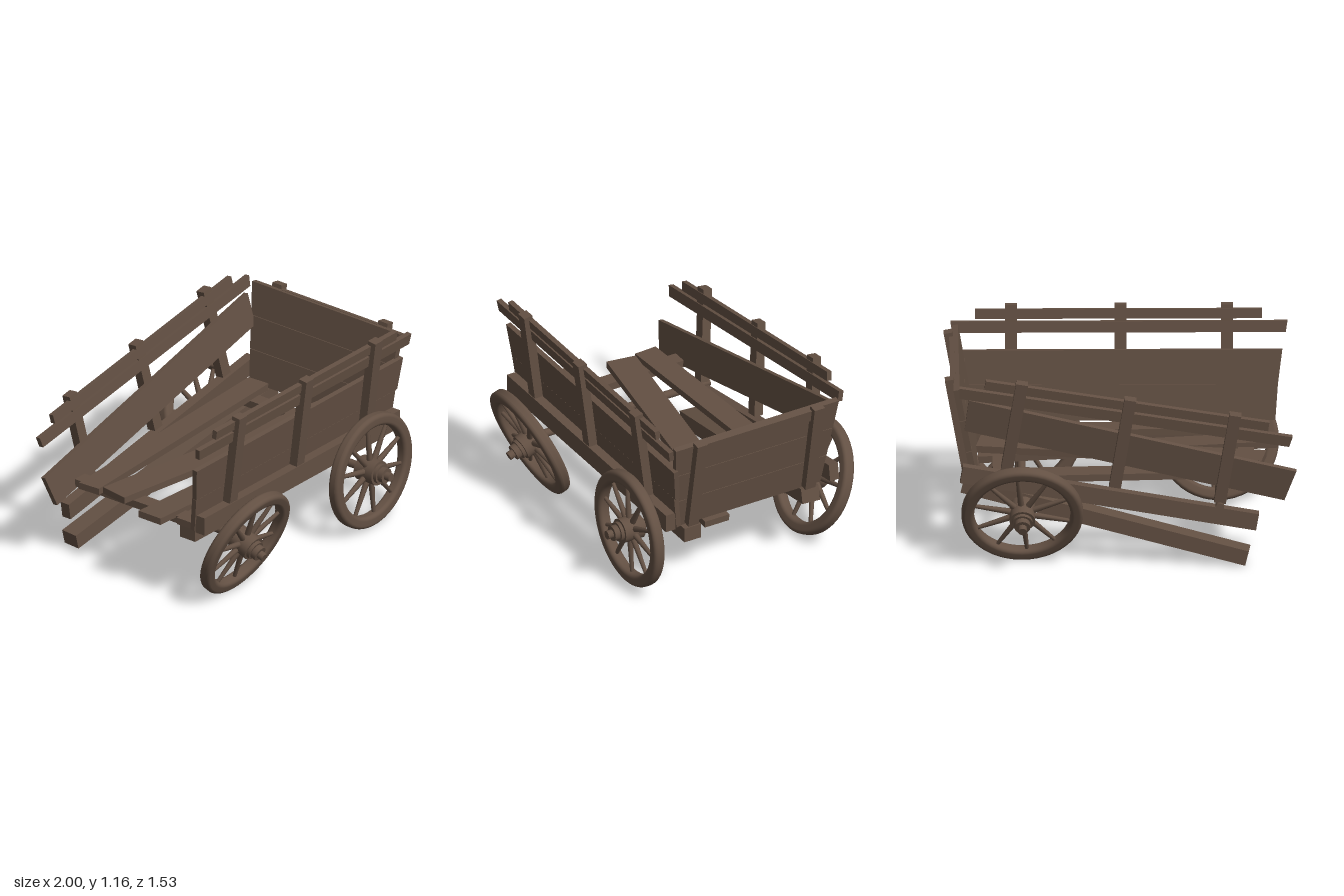
import * as THREE from 'three';

export function createModel() {
  const wagon = new THREE.Group();
  wagon.name = 'brokenWagon';
  const wood = new THREE.MeshStandardMaterial({ color: 0x635043 });
  wood.name = 'weathered wood';
  const V = (p) => new THREE.Vector3(...p);

  // Squared timber from a to b; h is its size along "up", t its thickness.
  // flare lengthens the ends along the upper edge.
  function timber(name, a, b, h, t, up = [0, 1, 0], flare = 0, parent = wagon) {
    const A = V(a), B = V(b), len = A.distanceTo(B);
    const geo = new THREE.BoxGeometry(len, h, t);
    const p = geo.attributes.position;
    for (let i = 0; i < p.count; i++) {
      if (p.getY(i) > 0) p.setX(i, p.getX(i) + Math.sign(p.getX(i)) * flare);
    }
    geo.computeVertexNormals();
    const x = B.clone().sub(A).normalize();
    const z = x.clone().cross(V(up)).normalize();
    const y = z.clone().cross(x);
    const mesh = new THREE.Mesh(geo, wood);
    mesh.name = name;
    mesh.quaternion.setFromRotationMatrix(new THREE.Matrix4().makeBasis(x, y, z));
    mesh.position.copy(A).add(B).multiplyScalar(0.5);
    parent.add(mesh);
  }

  // Rim cross-section: a closed square with rounded corners (radius, width)
  const rimProfile = [];
  for (let i = 0; i <= 20; i++) {
    const k = i % 20, corner = Math.floor(k / 5);
    const ang = ((corner + (k % 5) / 4) * Math.PI) / 2;
    const sx = corner === 0 || corner === 3 ? 1 : -1, sy = corner < 2 ? 1 : -1;
    rimProfile.push(new THREE.Vector2(
      0.311 + sx * 0.014 + Math.cos(ang) * 0.022, sy * 0.014 + Math.sin(ang) * 0.022));
  }

  // Wheel facing +z: rim, stepped hub, tapered spokes
  function wheel(name, pos, tilt, turn) {
    const g = new THREE.Group();
    g.name = name;
    const add = (n, geo) => {
      const m = new THREE.Mesh(geo, wood);
      m.name = n;
      g.add(m);
      return m;
    };
    add('rim', new THREE.LatheGeometry(rimProfile, 48).rotateX(Math.PI / 2));
    const steps = [[-0.085, 0.045, 0.042], [-0.065, 0.065, 0.073],
      [0.06, 0.085, 0.058], [0.08, 0.118, 0.045], [0.115, 0.152, 0.025]];
    for (const [z0, z1, r] of steps) {
      const geo = new THREE.CylinderGeometry(r, r, z1 - z0, 24).rotateX(Math.PI / 2);
      add('hub', geo).position.z = (z0 + z1) / 2;
    }
    const count = 10;
    for (let i = 0; i < count; i++) {
      const geo = new THREE.CylinderGeometry(0.011, 0.019, 0.24, 8);
      geo.translate(0, 0.17, 0).rotateZ((i / count) * Math.PI * 2 + 0.1);
      add('spoke', geo);
    }
    g.position.set(...pos);
    g.rotation.set(tilt, turn, 0);
    wagon.add(g);
  }
  wheel('frontLeftWheel', [-0.56, 0.336, 0.605], 0.37, 0);
  wheel('frontRightWheel', [0.565, 0.36, 0.615], 0, 0);
  wheel('backWheel', [0.565, 0.334, -0.6], -0.42, Math.PI);

  // Axles
  for (const x of [-0.56, 0.565]) {
    const axle = new THREE.Mesh(new THREE.CylinderGeometry(0.024, 0.024, 1.16, 16), wood);
    axle.name = 'axle';
    axle.rotation.x = Math.PI / 2;
    axle.position.set(x, 0.36, 0);
    wagon.add(axle);
  }

  // Undercarriage: one sound beam, one fallen beam, two cross beams
  timber('frameBeam', [-0.82, 0.435, 0.395], [0.9, 0.435, 0.395], 0.09, 0.11);
  timber('fallenFrameBeam', [-0.72, 0.055, -0.545], [0.9, 0.445, -0.385], 0.09, 0.11);
  timber('crossBeam', [0.685, 0.452, -0.48], [0.685, 0.452, 0.45], 0.045, 0.09);
  timber('crossBeam', [-0.715, 0.452, -0.48], [-0.715, 0.452, 0.45], 0.045, 0.09);

  // Floor planks, some shifted out of line
  const planks = [
    [[-0.83, 0.49, -0.32], [0.82, 0.49, -0.41], 0.14],
    [[-0.815, 0.495, -0.15], [0.81, 0.495, 0.11], 0.18],
    [[-0.9, 0.49, 0.18], [0.81, 0.4, 0.18], 0.16],
    [[-0.83, 0.49, 0.39], [0.82, 0.49, 0.335], 0.13],
  ];
  for (const [a, b, w] of planks) timber('floorPlank', a, b, 0.04, w);

  // Stakes and top rails of one side, leaning outward
  function sideFrame(name, s) {
    const g = new THREE.Group();
    g.name = name;
    const lean = [0, 1, s * 0.14];
    for (const x of [-0.61, -0.005, 0.62]) {
      timber('sideStake', [x, 0.6, s * 0.535], [x, 1.16, s * 0.607], 0.068, 0.055, [1, 0, 0], 0, g);
    }
    timber('lowerRail', [-0.945, 1.035, s * 0.572], [0.955, 1.035, s * 0.572], 0.065, 0.03, lean, 0.01, g);
    timber('upperRail', [-0.81, 1.11, s * 0.583], [0.825, 1.11, s * 0.583], 0.055, 0.03, lean, 0, g);
    wagon.add(g);
    return g;
  }
  sideFrame('frontSideFrame', 1);

  // The back frame has sagged about its tailgate corner
  const sagged = sideFrame('backSideFrame', -1);
  const sag = 0.157, pivot = V([0.8, 0.8, 0]);
  sagged.rotation.z = sag;
  sagged.position.copy(pivot).sub(pivot.clone().applyAxisAngle(V([0, 0, 1]), sag));

  // Sound side wall
  const out = [0, 1, 0.12];
  timber('sideSill', [-0.88, 0.545, 0.535], [0.89, 0.545, 0.535], 0.11, 0.065);
  timber('sideBoard', [-0.885, 0.605, 0.495], [0.89, 0.605, 0.495], 0.21, 0.03, out, 0.015);
  timber('sideBoard', [-0.9, 0.81, 0.52], [0.92, 0.81, 0.52], 0.2, 0.03, out, 0.025);

  // Collapsed side wall: sill and one board hanging from the tailgate corner
  timber('fallenSill', [-0.775, 0.262, -0.535], [0.91, 0.555, -0.535], 0.1, 0.06);
  timber('fallenBoard', [-0.952, 0.47, -0.503], [0.87, 0.905, -0.525], 0.2, 0.03, [0, 1, -0.18], 0.022);

  // Tailgate, leaning outward and widening upward
  const gateX = (y) => 0.835 + (y - 0.48) * 0.18;
  const rows = [[0.48, 0.67], [0.67, 0.865], [0.865, 1.06]];
  rows.forEach(([y0, y1], i) => {
    const y = (y0 + y1) / 2, half = 0.478 + i * 0.021;
    timber('tailgateBoard', [gateX(y), y, half], [gateX(y), y, -half], y1 - y0, 0.036, [0.18, 1, 0], 0.02);
  });
  for (const z of [0.39, -0.385]) {
    timber('tailgateStake', [gateX(0.49) + 0.038, 0.49, z], [gateX(1.075) + 0.038, 1.075, z], 0.068, 0.05, [0, 0, 1]);
  }
  timber('tailgateStrip', [gateX(1.02) + 0.02, 1.02, 0.36], [gateX(1.02) + 0.02, 1.02, -0.35], 0.075, 0.03, [0.18, 1, 0]);

  return wagon;
}
